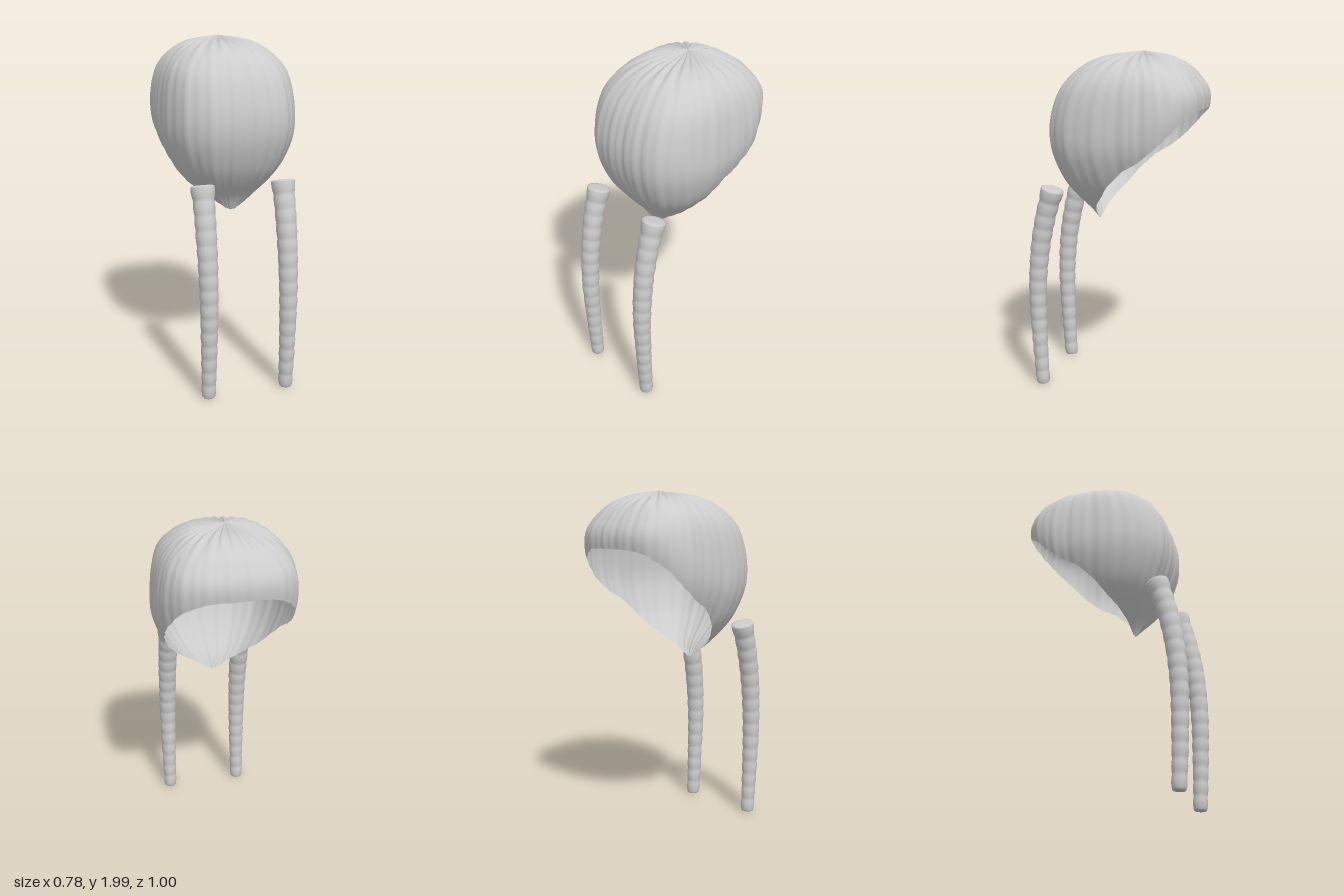
import * as THREE from 'three';

const CROWN_Z = -0.12;

// Closed loops of points joined row by row from top to bottom
function loft(rows, cols, pointAt) {
  const positions = [], index = [];
  for (let r = 0; r <= rows; r++) {
    for (let c = 0; c < cols; c++) {
      positions.push(...pointAt(r / rows, (c / cols) * Math.PI * 2).toArray());
      if (r === rows) continue;
      const a = r * cols + c, b = r * cols + ((c + 1) % cols);
      index.push(a, b, a + cols, b, b + cols, a + cols);
    }
  }
  const geometry = new THREE.BufferGeometry();
  geometry.setAttribute('position', new THREE.Float32BufferAttribute(positions, 3));
  geometry.setIndex(index);
  geometry.computeVertexNormals();
  return geometry;
}

// Cap sections from crown to tip: height, half width, front z, back z
const sections = [
  [2.0, 0, -0.12, -0.12], [1.985, 0.09, -0.02, -0.2], [1.965, 0.18, 0.1, -0.28],
  [1.92, 0.265, 0.21, -0.37], [1.85, 0.33, 0.29, -0.44], [1.75, 0.367, 0.355, -0.495],
  [1.6, 0.385, 0.397, -0.51], [1.45, 0.38, 0.39, -0.5], [1.3, 0.33, 0.335, -0.45],
  [1.2, 0.265, 0.27, -0.4], [1.1, 0.17, 0.185, -0.3], [1.02, 0.06, 0.14, -0.2],
];
const spline = (points) => new THREE.CatmullRomCurve3(points, false, 'catmullrom', 0.5);
const frontCurve = spline(sections.map(([y, w, f]) => new THREE.Vector3(w, y, f)));
const backCurve = spline(sections.map(([y, w, , b]) => new THREE.Vector3(w, y, b)));

// Height of the open edge along z, rising towards the back
const rim = [
  [-0.5, 1.69], [-0.4, 1.6], [-0.3, 1.5], [-0.2, 1.42], [-0.1, 1.365],
  [0, 1.27], [0.05, 1.2], [0.1, 1.14], [0.13, 1.08], [0.14, 1.02],
];
function rimHeight(z) {
  if (z <= rim[0][0]) return rim[0][1];
  for (let i = 1; i < rim.length; i++) {
    const [z0, y0] = rim[i - 1], [z1, y1] = rim[i];
    if (z <= z1) return y0 + ((y1 - y0) * (z - z0)) / (z1 - z0);
  }
  return 1.02;
}

// Rounded-square section of the cap with gentle pleats
function capPoint(t, angle, curl = 0) {
  const c = Math.cos(angle), s = Math.sin(angle);
  const front = frontCurve.getPoint(t);
  const reach = s > 0 ? front.z - CROWN_Z : CROWN_Z - backCurve.getPoint(t).z;
  const n = 2 + Math.min(1, t * 2.5);
  const pleat = 1 + 0.007 * Math.cos(angle * 40) + 0.006 * Math.cos(angle * 18 + 1);
  const r = (pleat - curl) / Math.pow(Math.abs(c) ** n + Math.abs(s) ** n, 1 / n);
  const crease = 0.006 * Math.sin(Math.PI * Math.min(1, t * 3)) * Math.cos(angle * 24);
  return new THREE.Vector3(front.x * c * r, front.y + crease, CROWN_Z + reach * s * r);
}

// Where each column of the cap meets the open edge
const rimCache = new Map();
function rimT(angle) {
  if (!rimCache.has(angle)) {
    let low = 0.3, high = 1;
    for (let i = 0; i < 24; i++) {
      const mid = (low + high) / 2, p = capPoint(mid, angle);
      if (p.y > rimHeight(p.z)) low = mid; else high = mid;
    }
    rimCache.set(angle, low);
  }
  return rimCache.get(angle);
}

function capGeometry() {
  return loft(40, 160, (v, angle) => {
    // The edge turns slightly inward at the sides and back
    const turn = Math.max(0, (v - 0.78) / 0.22) ** 2;
    const curl = 0.06 * turn * Math.min(1, Math.max(0, 0.8 - Math.sin(angle)));
    return capPoint(v * rimT(angle), angle, curl);
  });
}

// Tapered braid with bulging strands and rounded ends
function braidGeometry() {
  const path = new THREE.CatmullRomCurve3([
    [0.232, 1.225, 0.35], [0.232, 1.05, 0.4], [0.233, 0.85, 0.438], [0.235, 0.6, 0.458],
    [0.236, 0.3, 0.452], [0.236, 0.01, 0.437],
  ].map((p) => new THREE.Vector3(...p)));
  const side = new THREE.Vector3(1, 0, 0);
  return loft(130, 16, (v, angle) => {
    const t = THREE.MathUtils.clamp((v - 0.02) / 0.96, 0, 1);
    const normal = path.getTangentAt(t).cross(side).normalize();
    const bulge = 0.004 * (Math.abs(Math.sin(t * Math.PI * 15)) - 0.5);
    const flare = 0.008 * Math.max(0, 1 - t * 14);
    const topEnd = Math.min(1, v / 0.02);
    const bottomEnd = Math.sqrt(Math.max(0, 1 - Math.max(0, (v - 0.965) / 0.035) ** 3));
    const radius = (0.06 - 0.021 * t ** 1.3 + bulge + flare) * topEnd * bottomEnd;
    return path.getPointAt(t)
      .addScaledVector(side, Math.cos(angle) * radius)
      .addScaledVector(normal, Math.sin(angle) * radius);
  });
}

export function createModel() {
  const group = new THREE.Group();
  group.name = 'hair';
  const grey = new THREE.MeshStandardMaterial({ color: 0xcccccc, side: THREE.DoubleSide });
  grey.name = 'light grey';

  const cap = new THREE.Mesh(capGeometry(), grey);
  cap.name = 'hairCap';
  group.add(cap);

  // Two braids hanging in front
  const geometry = braidGeometry();
  for (const [name, offset] of [['leftBraid', 0], ['rightBraid', -0.468]]) {
    const braid = new THREE.Mesh(geometry, grey);
    braid.name = name;
    braid.position.x = offset;
    group.add(braid);
  }
  return group;
}
